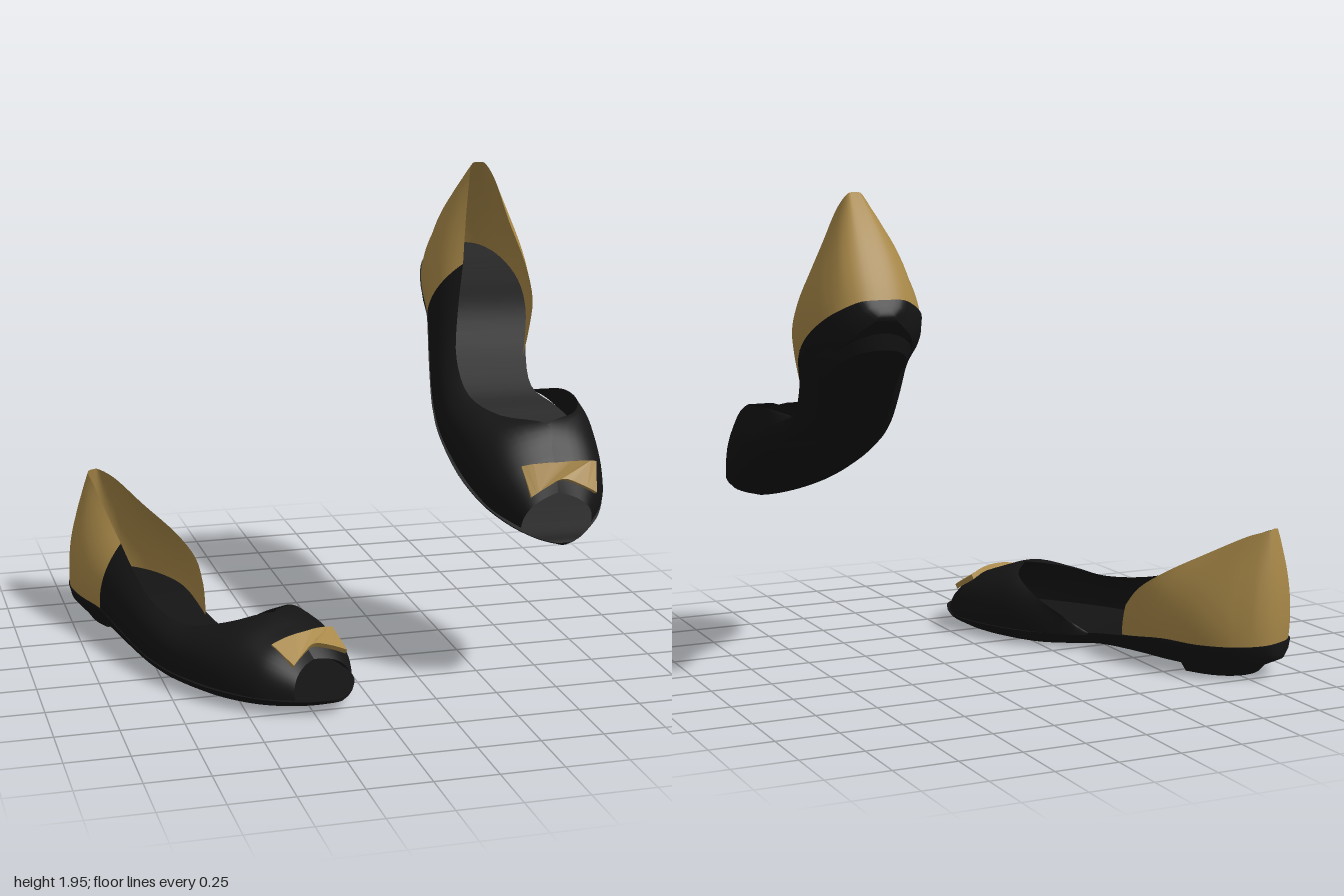
import * as THREE from 'three';
import { toCreasedNormals } from 'three/addons/utils/BufferGeometryUtils.js';

const black = new THREE.MeshStandardMaterial({ color: 0x141414, side: THREE.DoubleSide });
black.name = 'black leather';
const gold = new THREE.MeshStandardMaterial({ color: 0xa88848, side: THREE.DoubleSide });
gold.name = 'gold leather';

// Catmull-Rom resampling of rows of numbers
function smoothRows(rows, steps = 4) {
  const out = [];
  const at = (i) => rows[Math.max(0, Math.min(rows.length - 1, i))];
  for (let i = 0; i < rows.length - 1; i++) {
    for (let s = 0; s < steps; s++) {
      const t = s / steps;
      out.push(rows[i].map((p1, k) => {
        const p0 = at(i - 1)[k], p2 = at(i + 1)[k], p3 = at(i + 2)[k];
        return 0.5 * (2 * p1 + (p2 - p0) * t + (2 * p0 - 5 * p1 + 4 * p2 - p3) * t * t
          + (3 * p1 - p0 - 3 * p2 + p3) * t * t * t);
      }));
    }
  }
  out.push(rows[rows.length - 1]);
  return out;
}

// Skin over a list of equally long point rows
function skin(rows) {
  const n = rows[0].length, index = [];
  for (let i = 0; i < rows.length - 1; i++) {
    for (let j = 0; j < n - 1; j++) {
      const a = i * n + j, b = a + n;
      index.push(a, b, a + 1, b, b + 1, a + 1);
    }
  }
  const g = new THREE.BufferGeometry();
  g.setAttribute('position', new THREE.Float32BufferAttribute(rows.flat(2), 3));
  g.setIndex(index);
  g.computeVertexNormals();
  return g;
}

// Closed rings, capped by shrinking to the centre at both ends
function solid(rings) {
  const closed = rings.map((r) => [...r, r[0]]);
  const cap = (r) => {
    const c = [0, 1, 2].map((k) => r.slice(1).reduce((s, p) => s + p[k], 0) / (r.length - 1));
    return r.map(() => c);
  };
  return toCreasedNormals(skin([cap(closed[0]), ...closed, cap(closed[closed.length - 1])]), 0.6);
}

// Upper wall: each row is base x y z, top x y z, and fullness of the curve
function wall(rows) {
  return skin(smoothRows(rows).map(([bx, by, bz, tx, ty, tz, f]) => {
    const curve = new THREE.QuadraticBezierCurve3(
      new THREE.Vector3(bx, by, bz),
      new THREE.Vector3(bx * 1.06, by + f * (ty - by), bz * 0.8 + tz * 0.2 - (bz < -0.8 ? 0.03 : 0)),
      new THREE.Vector3(tx, ty, tz));
    return curve.getPoints(12).map((p) => p.toArray());
  }));
}

const heelBack = [0.01, 0.14, -0.862, 0.02, 0.607, -0.833, 0.45];
const seam = [-0.24, 0.125, -0.425, -0.13, 0.395, -0.42, 0.55];
const quarterRows = [
  seam,
  [-0.22, 0.13, -0.6, -0.09, 0.485, -0.58, 0.5],
  [-0.175, 0.135, -0.75, -0.045, 0.57, -0.74, 0.45],
  [-0.09, 0.14, -0.84, -0.015, 0.6, -0.826, 0.45],
  heelBack,
  [0.11, 0.14, -0.84, 0.05, 0.6, -0.826, 0.45],
  [0.185, 0.135, -0.75, 0.075, 0.57, -0.74, 0.45],
  [0.22, 0.13, -0.6, 0.1, 0.49, -0.58, 0.5],
  [0.2, 0.12, -0.42, 0.14, 0.395, -0.4, 0.5],
  [0.15, 0.1, -0.25, 0.15, 0.31, -0.27, 0.5],
  [0.115, 0.085, -0.16, 0.125, 0.22, -0.185, 0.5],
];
const leftRows = [
  seam,
  [-0.285, 0.09, -0.2, -0.2, 0.305, -0.2, 0.6],
  [-0.325, 0.07, 0, -0.25, 0.25, 0, 0.7],
  [-0.35, 0.06, 0.2, -0.25, 0.23, 0.2, 0.8],
  [-0.342, 0.055, 0.36, -0.17, 0.265, 0.36, 0.9],
  [-0.32, 0.055, 0.5, -0.01, 0.298, 0.46, 1],
  [-0.28, 0.055, 0.63, -0.02, 0.265, 0.57, 1],
  [-0.24, 0.055, 0.7, -0.02, 0.235, 0.64, 1],
  [-0.17, 0.055, 0.78, -0.02, 0.175, 0.715, 1],
];
const rightRows = [
  [0.105, 0.06, 0.01, 0.115, 0.075, 0.03, 0.6],
  [0.16, 0.06, 0.07, 0.19, 0.15, 0.11, 0.6],
  [0.215, 0.06, 0.2, 0.2, 0.215, 0.24, 0.7],
  [0.235, 0.055, 0.34, 0.13, 0.275, 0.38, 0.9],
  [0.232, 0.055, 0.5, -0.01, 0.298, 0.46, 1],
  [0.21, 0.055, 0.63, -0.02, 0.265, 0.57, 1],
  [0.185, 0.055, 0.7, -0.02, 0.235, 0.64, 1],
  [0.12, 0.055, 0.78, -0.02, 0.175, 0.715, 1],
];

// Sole stations: z, left edge, right edge, underside, insole height
const soleRows = [
  [-0.868, -0.03, 0.05, 0.1, 0.145],
  [-0.85, -0.09, 0.11, 0.07, 0.145],
  [-0.75, -0.18, 0.19, 0.04, 0.14],
  [-0.6, -0.225, 0.225, 0.035, 0.135],
  [-0.42, -0.245, 0.205, 0.03, 0.13],
  [-0.2, -0.29, 0.14, 0.02, 0.095],
  [0, -0.33, 0.11, 0.012, 0.07],
  [0.12, -0.35, 0.18, 0.01, 0.065],
  [0.25, -0.36, 0.235, 0.008, 0.062],
  [0.45, -0.345, 0.245, 0.01, 0.06],
  [0.62, -0.295, 0.22, 0.016, 0.06],
  [0.74, -0.225, 0.165, 0.025, 0.06],
  [0.82, -0.15, 0.09, 0.035, 0.06],
  [0.86, -0.09, 0.04, 0.045, 0.062],
  [0.876, -0.045, 0, 0.05, 0.062],
];

function soleGeometry() {
  return solid(smoothRows(soleRows).map(([z, l, r, yb, yt]) => {
    const inset = Math.min(0.06, 0.3 * (r - l)), ym = yb + 0.5 * (yt - yb);
    return [[l, yt, z], [l + inset * 0.25, ym, z], [l + inset, yb, z],
      [r - inset, yb, z], [r - inset * 0.25, ym, z], [r, yt, z]];
  }));
}

// Low heel block, D-shaped in plan and tapering to the ground
function heelGeometry() {
  const ring = (y, halfWidth, front, back) => {
    const pts = [];
    for (let i = 0; i <= 16; i++) {
      const a = (i / 16) * Math.PI;
      pts.push([0.005 + halfWidth * Math.cos(a), y, front + (back - front) * Math.sin(a) ** 0.7]);
    }
    return pts;
  };
  return solid([ring(0, 0.15, -0.51, -0.745), ring(0.06, 0.19, -0.5, -0.8), ring(0.13, 0.215, -0.48, -0.858)]);
}

// Flat bow, pinched in the middle and bent over the vamp
function bowGeometry() {
  const s = new THREE.Shape();
  s.moveTo(-0.155, 0.06);
  s.splineThru([[-0.08, 0.052], [0, 0.045], [0.08, 0.052], [0.155, 0.06]].map((p) => new THREE.Vector2(...p)));
  s.lineTo(0.135, -0.07);
  s.splineThru([[0.07, -0.045], [0, -0.022], [-0.07, -0.045], [-0.135, -0.07]].map((p) => new THREE.Vector2(...p)));
  s.closePath();
  const g = new THREE.ExtrudeGeometry(s, { depth: 0.022, bevelEnabled: false, curveSegments: 6 });
  g.rotateX(-Math.PI / 2 + 0.55);
  const p = g.attributes.position;
  for (let i = 0; i < p.count; i++) p.setY(i, p.getY(i) - 1.2 * p.getX(i) ** 2);
  g.computeVertexNormals();
  return g;
}

function makeShoe(name) {
  const shoe = new THREE.Group();
  shoe.name = name;
  const add = (part, geometry, material) => {
    const m = new THREE.Mesh(geometry, material);
    m.name = part;
    shoe.add(m);
    return m;
  };
  add('sole', soleGeometry(), black);
  add('heel', heelGeometry(), black);
  add('heelCounter', wall(quarterRows), gold);
  add('vampLeft', wall(leftRows), black);
  add('vampRight', wall(rightRows), black);
  add('bow', bowGeometry(), gold).position.set(-0.003, 0.222, 0.665);
  return shoe;
}

export function createModel() {
  const model = new THREE.Group();
  model.name = 'pairOfShoes';
  // One shoe stands flat, the other is tipped toe-down above it
  const standing = makeShoe('standingShoe');
  standing.position.set(-0.51, 0, 0);
  standing.rotation.y = THREE.MathUtils.degToRad(25.6);
  const tipped = makeShoe('tippedShoe');
  tipped.position.set(0.76, 1.007, 0.035);
  tipped.rotation.x = THREE.MathUtils.degToRad(30);
  model.add(standing, tipped);
  return model;
}
